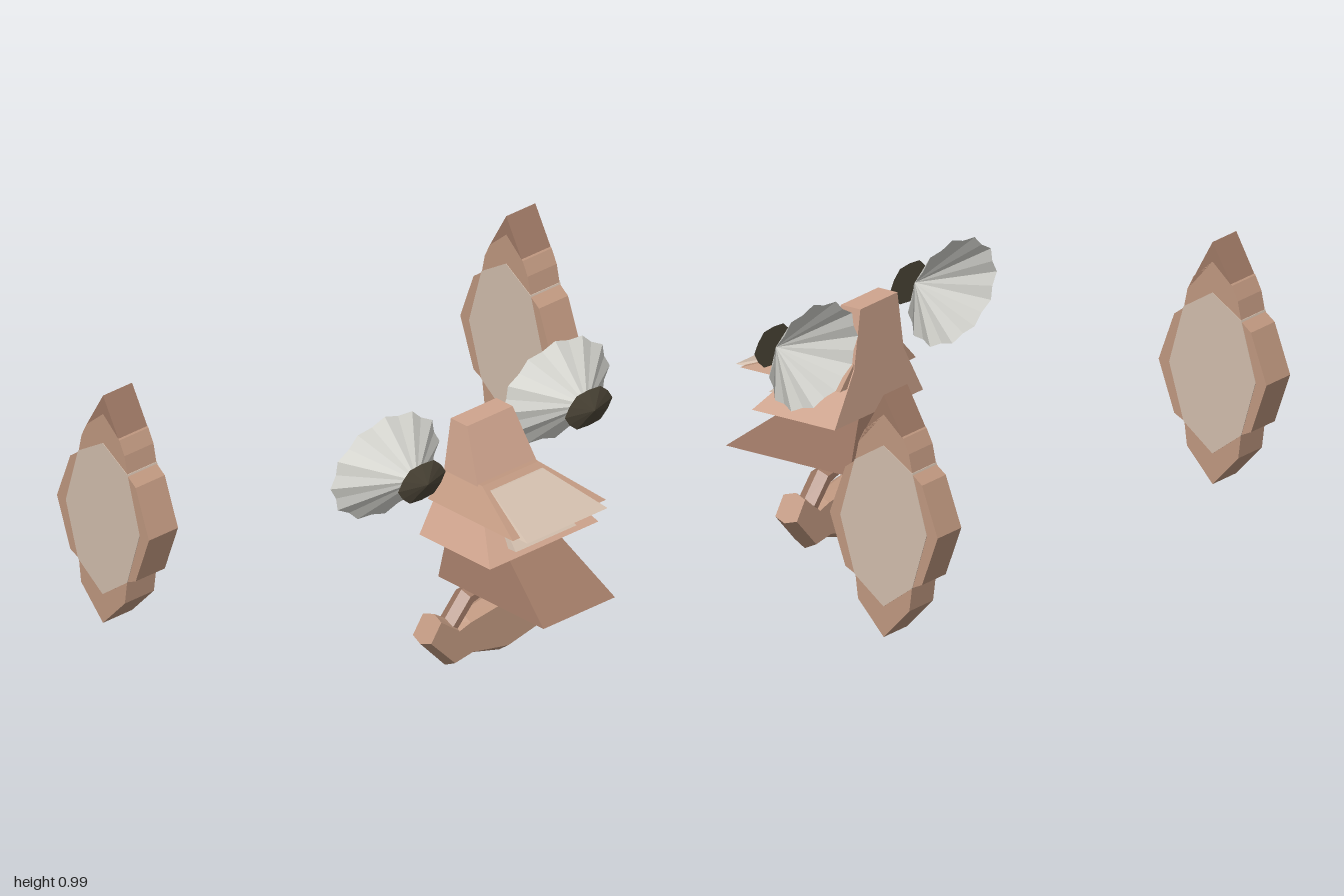
import * as THREE from 'three';

const mat = (name, color, extra = {}) => Object.assign(new THREE.MeshStandardMaterial({ color, ...extra }), { name });

// Faceted normals for every part
function facet(geo) {
  const g = geo.index ? geo.toNonIndexed() : geo;
  g.computeVertexNormals();
  return g;
}

// Skin through equal-sized rings of [x, y, z], closed at both ends
function loft(rings) {
  const n = rings[0].length, idx = [];
  for (let r = 0; r < rings.length - 1; r++) {
    for (let i = 0; i < n; i++) {
      const j = (i + 1) % n, a = r * n, b = a + n;
      idx.push(a + i, a + j, b + j, a + i, b + j, b + i);
    }
  }
  const last = (rings.length - 1) * n;
  for (let i = 1; i < n - 1; i++) idx.push(0, i + 1, i, last, last + i, last + i + 1);
  const g = new THREE.BufferGeometry();
  g.setAttribute('position', new THREE.Float32BufferAttribute(rings.flat(2), 3));
  g.setIndex(idx);
  return facet(g);
}

// Flared nose layer: flat back, sloping front and sides
function noseLayer(yb, xb, zb, yt, xt, zt, back) {
  const ring = (y, x, z) => [[x, y, z], [x, y, back], [-x, y, back], [-x, y, z]];
  return loft([ring(yb, xb, zb), ring(yt, xt, zt)]);
}

// Lip with a pointed six-sided section; pairs hold [topX, topY, bottomX, bottomY] from centre to corner
function lip(pairs, w, bevel) {
  const mirrored = pairs.slice(1).reverse().map(([a, b, c, d]) => [-a, b, -c, d]);
  const zc = 0.355;
  return loft([...mirrored, ...pairs].map(([tx, ty, bx, by]) => {
    const at = (t, z) => [bx + (tx - bx) * t, by + (ty - by) * t, z];
    return [at(0, zc), at(bevel, zc - w), at(1 - bevel, zc - w),
      at(1, zc), at(1 - bevel, zc + w), at(bevel, zc + w)];
  }));
}

// Scalloped elliptical cone with its tip forward
function scallopCone(rx, ry, back, tip, sides, open) {
  const g = new THREE.ConeGeometry(1, tip - back, sides, 1, open);
  g.rotateX(Math.PI / 2);
  const p = g.attributes.position;
  for (let i = 0; i < p.count; i++) {
    const a = Math.atan2(p.getY(i), p.getX(i));
    const k = 0.965 + 0.035 * Math.cos(a * sides / 2);
    p.setXY(i, p.getX(i) * rx * k, p.getY(i) * ry * k);
  }
  g.translate(0, 0, (tip + back) / 2);
  return facet(g);
}

// Slab with its outline in the z-y plane
function slab(points, thickness) {
  const shape = new THREE.Shape(points.map(([u, y]) => new THREE.Vector2(u, y)));
  const g = new THREE.ExtrudeGeometry(shape, { depth: thickness, bevelEnabled: false });
  g.translate(0, 0, -thickness / 2);
  g.rotateY(Math.PI / 2);
  return facet(g);
}

// Outline given for one half, top to bottom, mirrored to the other
const bothSides = (half) => [...half, ...half.filter(([u]) => u > 0).reverse().map(([u, y]) => [-u, y])];

export function createModel() {
  const tan = mat('tan skin', 0xd0a58e);
  const mid = mat('medium skin', 0xc09880);
  const dark = mat('dark skin', 0x9f7965);
  const pale = mat('pale skin', 0xd2bead);
  const white = mat('eye white', 0xdadad4, { side: THREE.DoubleSide });
  const black = mat('pupil', 0x4c4537);

  const model = new THREE.Group();
  model.name = 'floatingFace';
  const add = (parent, name, geo, material) => {
    const m = new THREE.Mesh(geo, material);
    m.name = name;
    parent.add(m);
    return m;
  };
  const group = (name) => {
    const g = new THREE.Group();
    g.name = name;
    model.add(g);
    return g;
  };

  // Nose: stacked flaring layers below a narrow bridge
  const nose = group('nose');
  add(nose, 'noseBridge', noseLayer(0.65, 0.142, 0.41, 0.87, 0.105, 0.31, 0.23), tan);
  add(nose, 'noseUpperFlare', noseLayer(0.605, 0.215, 0.65, 0.69, 0.13, 0.41, 0.234), mid);
  add(nose, 'noseUpperTrim', noseLayer(0.6, 0.185, 0.69, 0.68, 0.12, 0.445, 0.238), pale);
  add(nose, 'noseMiddleTrim', noseLayer(0.51, 0.14, 0.585, 0.65, 0.1, 0.42, 0.242), pale);
  add(nose, 'noseMiddleFlare', noseLayer(0.48, 0.25, 0.575, 0.72, 0.105, 0.36, 0.23), tan);
  add(nose, 'noseTip', noseLayer(0.29, 0.165, 0.747, 0.65, 0.065, 0.27, 0.232), dark);

  // Mouth
  const mouth = group('mouth');
  add(mouth, 'lowerLip', lip([
    [0, 0.238, 0, 0], [0.175, 0.205, 0.16, 0.045],
    [0.22, 0.19, 0.25, 0.033], [0.3, 0.245, 0.365, 0.155],
  ], 0.045, 0.14), mid);
  add(mouth, 'upperLip', lip([
    [0, 0.297, 0, 0.255], [0.1, 0.297, 0.08, 0.255],
    [0.175, 0.292, 0.145, 0.23], [0.26, 0.2, 0.21, 0.165],
  ], 0.036, 0.3), dark);

  // Eyes and ears on both sides
  const earBody = bothSides([
    [0, 0.92], [0.08, 0.85], [0.105, 0.8], [0.12, 0.73], [0.16, 0.7], [0.225, 0.525],
    [0.16, 0.345], [0.118, 0.325], [0.107, 0.24], [0, 0.125],
  ]);
  const earTip = [[0, 0.99], [0.105, 0.8], [0.08, 0.85], [0, 0.92], [-0.08, 0.85], [-0.105, 0.8]];
  const earInset = bothSides([[0, 0.81], [0.12, 0.735], [0.18, 0.525], [0.12, 0.325], [0, 0.235]]);
  for (const [side, s] of [['left', 1], ['right', -1]]) {
    const eye = group(side + 'Eye');
    eye.position.set(s * 0.393, 0.79, 0);
    add(eye, 'eyeWhite', scallopCone(0.252, 0.184, 0.213, 0.37, 24, true), white);
    const pupil = add(eye, 'pupil', scallopCone(0.11, 0.073, 0.385, 0.415, 12, false), black);
    pupil.position.x = s * -0.008;

    const ear = group(side + 'Ear');
    ear.position.set(s * 0.931, 0, -0.525);
    add(ear, 'earBody', slab(earBody, 0.134), mid);
    add(ear, 'earTip', slab(earTip, 0.134), dark);
    add(ear, 'earInset', slab(earInset, 0.138), pale);
  }
  return model;
}
